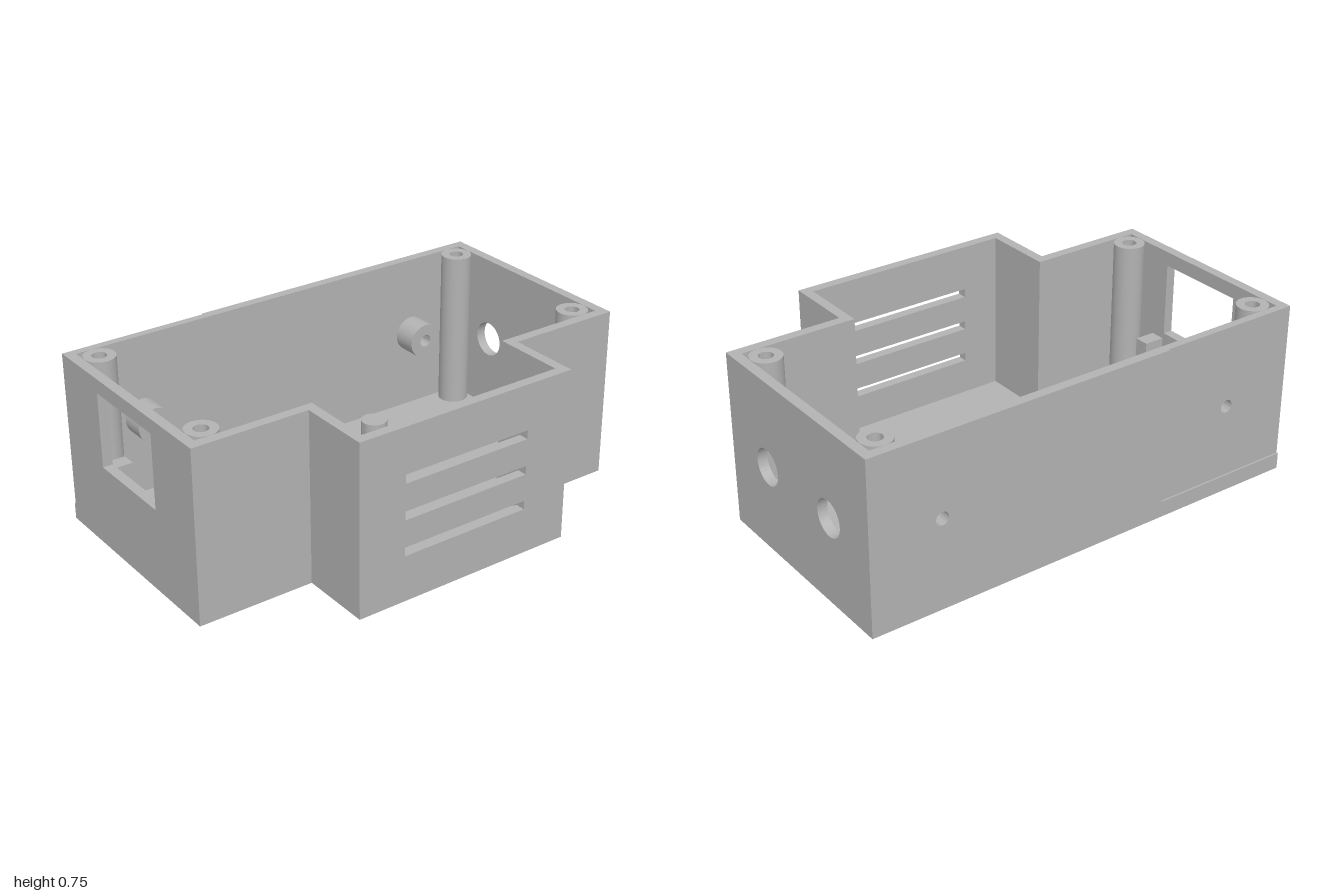
import * as THREE from 'three';
import { toCreasedNormals } from 'three/addons/utils/BufferGeometryUtils.js';

const H = 0.745, FLOOR = 0.045, T = 0.043;      // height, floor and wall thickness
const X0 = -0.635, X1 = 0.33, X2 = 0.643;       // left body face, right body face, bay face

export function createModel() {
  const model = new THREE.Group();
  const grey = new THREE.MeshStandardMaterial({ color: 0xb2b2b2 });
  grey.name = 'grey plastic';

  const add = (name, geometry, x = 0, y = 0, z = 0) => {
    const mesh = new THREE.Mesh(toCreasedNormals(geometry, 0.6), grey);
    mesh.name = name;
    mesh.position.set(x, y, z);
    model.add(mesh);
    return mesh;
  };
  const poly = (pts) => pts.map(([a, b]) => new THREE.Vector2(a, b));
  const rect = (a0, b0, a1, b1) => poly([[a0, b0], [a1, b0], [a1, b1], [a0, b1]]);
  const circle = (a, b, r) => new THREE.Path().absarc(a, b, r, 0, Math.PI * 2, true).getPoints(40).slice(0, -1);
  const plate = (outline, holes, depth) => {
    const shape = new THREE.Shape(outline);
    holes.forEach((h) => shape.holes.push(new THREE.Path(h)));
    return new THREE.ExtrudeGeometry(shape, { depth, bevelEnabled: false });
  };
  // Plate drawn in (z, y), reaching from x - depth to x
  const sidePlate = (name, outline, holes, depth, x) =>
    add(name, plate(outline, holes, depth).rotateY(-Math.PI / 2), x);
  const box = (name, x0, y0, z0, x1, y1, z1) =>
    add(name, new THREE.BoxGeometry(x1 - x0, y1 - y0, z1 - z0), (x0 + x1) / 2, (y0 + y1) / 2, (z0 + z1) / 2);
  const lathe = (pts) => new THREE.LatheGeometry(poly(pts), 40);

  // Floor, with the side bay
  const footprint = poly([[X0, -1], [X1, -1], [X1, -0.5], [X2, -0.5], [X2, 0.5], [X1, 0.5], [X1, 1], [X0, 1]]);
  add('floor', plate(footprint, [], FLOOR).rotateX(Math.PI / 2), 0, FLOOR);

  // End walls: display window in front, two cable holes behind
  const endWall = rect(X0, FLOOR, X1, H);
  add('frontWall', plate(endWall, [rect(-0.36, 0.362, 0.045, 0.683)], T), 0, 0, 1 - T);
  add('backWall', plate(endWall, [-0.375, 0.062].map((x) => circle(x, 0.372, 0.077)), T), 0, 0, -1);

  // Left wall with screw holes; its outer skin leaves a shallow recess near the front
  const bossZ = [-0.69, 0.686], bossY = 0.392, boreR = 0.028;
  const bores = bossZ.map((z) => circle(z, bossY, boreR));
  sidePlate('leftWall', rect(-1 + T, FLOOR, 1 - T, H), bores, 0.034, -0.601);
  const skin = poly([[-1, 0], [1, 0], [1, 0.07], [0.36, 0.07], [0.36, H], [-1, H]]);
  sidePlate('leftSkin', skin, [bores[0]], 0.008, X0);
  // The second screw hole lies in the recess, where there is no skin

  // Right walls and the bay, mirrored front to back
  for (const s of [-1, 1]) {
    const zs = (a, b) => [Math.min(s * a, s * b), Math.max(s * a, s * b)];
    const [a0, a1] = zs(0.5 - T, 1 - T);
    box('rightWall', X1 - T, FLOOR, a0, X1, H, a1);
    const [b0, b1] = zs(0.5 - T, 0.5);
    box('baySideWall', X1, FLOOR, b0, X2, H, b1);
  }
  const slots = [0.2, 0.355, 0.51].map((y) => rect(-0.292, y, 0.292, y + 0.038));
  sidePlate('bayVentWall', rect(-0.5 + T, FLOOR, 0.5 - T, H), slots, T, X2);

  // Corner screw posts with blind holes
  const postH = H - FLOOR;
  for (const x of [-0.535, 0.22])
    for (const z of [-0.89, 0.89])
      add('screwPost', lathe([[0.066, 0], [0.066, postH], [0.03, postH], [0.03, 0.35], [0, 0.35]]), x, FLOOR, z);

  // Hollow bosses on the left wall
  for (const z of bossZ)
    add('wallBoss', lathe([[boreR, 0], [0.077, 0], [0.077, 0.108], [boreR, 0.108], [boreR, 0]])
      .rotateZ(-Math.PI / 2), -0.601, bossY, z);

  // Floor standoffs
  for (const z of [-0.16, 0.33])
    add('standoff', new THREE.CylinderGeometry(0.055, 0.055, 0.255, 40), -0.16, FLOOR + 0.1275, z);

  // Blocks below the window that hold the display
  for (const x of [-0.435, 0.052]) box('displaySupport', x, FLOOR, 0.865, x + 0.065, 0.335, 1 - T);

  return model;
}
